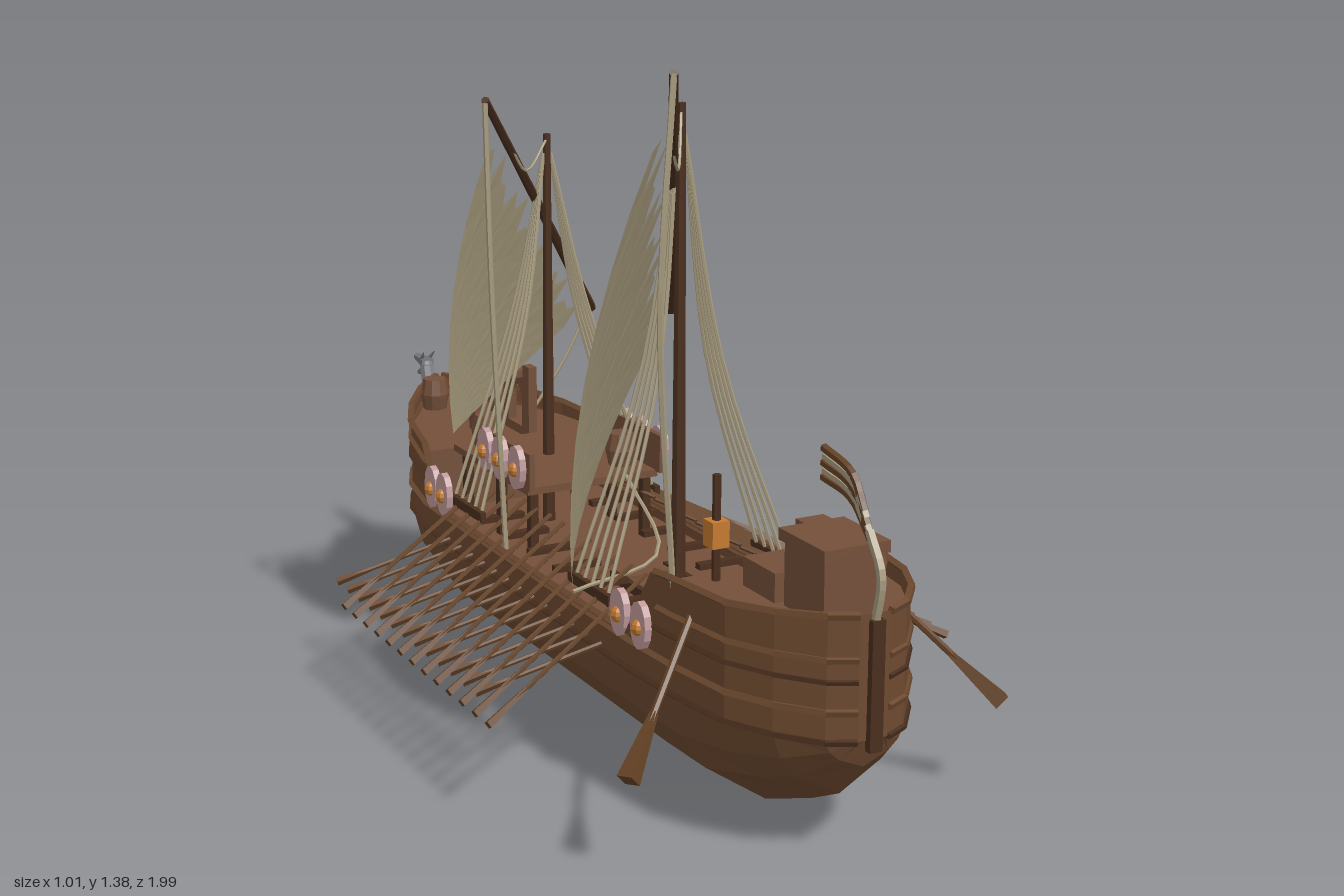
import * as THREE from 'three';

const V = (x, y, z) => new THREE.Vector3(x, y, z);
const mat = (name, color, side = THREE.FrontSide) => {
  const m = new THREE.MeshStandardMaterial({ color, side, flatShading: true });
  m.name = name;
  return m;
};

// hull stations: z, half width, keel height, sheer height
const S = [
  [0.97, 0.03, 0.26, 0.48], [0.945, 0.08, 0.19, 0.48], [0.87, 0.14, 0.11, 0.475], [0.78, 0.185, 0.065, 0.47],
  [0.62, 0.207, 0, 0.47], [0.57, 0.21, 0, 0.465], [0.48, 0.215, 0, 0.32], [0.2, 0.215, 0, 0.315],
  [-0.2, 0.215, 0, 0.315], [-0.38, 0.215, 0, 0.32], [-0.46, 0.212, 0, 0.44], [-0.6, 0.185, 0.015, 0.45],
  [-0.7, 0.14, 0.035, 0.46], [-0.8, 0.075, 0.06, 0.465], [-0.87, 0.006, 0.095, 0.47],
];
const at = (z, col) => {
  for (let i = 1; i < S.length; i++) if (z >= S[i][0]) {
    const a = S[i - 1], b = S[i];
    return THREE.MathUtils.lerp(b[col], a[col], (z - b[0]) / (a[0] - b[0]));
  }
  return S[S.length - 1][col];
};

function gridGeometry(rows) {
  const n = rows[0].length, pos = [], idx = [];
  rows.forEach((r) => r.forEach((p) => pos.push(p.x, p.y, p.z)));
  for (let i = 0; i < rows.length - 1; i++) for (let j = 0; j < n - 1; j++) {
    const a = i * n + j, b = a + n;
    idx.push(a, b, a + 1, b, b + 1, a + 1);
  }
  const g = new THREE.BufferGeometry();
  g.setAttribute('position', new THREE.Float32BufferAttribute(pos, 3));
  g.setIndex(idx);
  g.computeVertexNormals();
  return g;
}

export function createModel() {
  const M = {
    hull: mat('hull brown', 0x6e4a30, THREE.DoubleSide), wood: mat('plank brown', 0x74503a),
    dark: mat('dark wood', 0x4a2f1e), oar: mat('oar brown', 0x644226),
    sail: mat('canvas', 0xa3977a, THREE.DoubleSide), rope: mat('rope tan', 0xa89c80),
    grey: mat('figurehead grey', 0x7b7c82), pink: mat('shield pink', 0xc09a9c), orange: mat('shield orange', 0xc47a30),
  };
  const model = new THREE.Group();
  model.name = 'galley';
  const add = (name, g, m, x = 0, y = 0, z = 0) => {
    const o = new THREE.Mesh(g, m);
    o.name = name;
    o.position.set(x, y, z);
    model.add(o);
    return o;
  };
  const box = (name, m, w, h, d, x, y, z) => add(name, new THREE.BoxGeometry(w, h, d), m, x, y, z);
  const rod = (name, m, a, b, r0, r1 = r0, n = 6) => {
    const d = b.clone().sub(a);
    const o = add(name, new THREE.CylinderGeometry(r1, r0, d.length(), n), m);
    o.position.copy(a).add(b).multiplyScalar(0.5);
    o.quaternion.setFromUnitVectors(V(0, 1, 0), d.normalize());
    return o;
  };
  const rope = (name, pts, r = 0.004, m = M.rope) =>
    add(name, new THREE.TubeGeometry(new THREE.CatmullRomCurve3(pts), 10, r, 5), m);

  // hull shell lofted through the stations; the last one is the ram and stem
  const levels = [[0, 0], [0.35, 0.62], [0.65, 0.88], [1, 1]];
  const ramZ = [-0.93, -0.89, -0.845, -0.825, -0.87];
  add('hull', gridGeometry(S.map(([z, w, k, t], i) => {
    const half = levels.map(([f, q]) => V(w * q, k + f * (0.25 - k), z));
    half.push(V(w, t, z));
    if (i === S.length - 1) half.forEach((p, j) => { p.z = ramZ[j]; });
    const other = half.slice(1).reverse().map((p) => V(-p.x, p.y, p.z));
    return [...other, ...half];
  })), M.hull);
  const [zs, ws, ks, ts] = S[0];
  add('transom', gridGeometry([[V(-ws, ts, zs), V(ws, ts, zs)], [V(-ws, 0.25, zs), V(ws, 0.25, zs)],
    [V(0, ks, zs), V(0, ks, zs)]]), M.hull);

  // decks and solid castles follow the hull outline
  const deck = (name, z0, z1, y0, y1) => {
    const zz = [z0, ...S.map((s) => s[0]).filter((z) => z < z0 && z > z1), z1];
    const side = zz.map((z) => new THREE.Vector2(at(z, 1) * 0.97, -z));
    const shape = new THREE.Shape([...side, ...side.slice().reverse().map((p) => new THREE.Vector2(-p.x, p.y))]);
    const g = new THREE.ExtrudeGeometry(shape, { depth: y1 - y0, bevelEnabled: false });
    add(name, g.rotateX(-Math.PI / 2), M.wood);
    model.children[model.children.length - 1].position.y = y0;
  };
  deck('mainDeck', 0.6, -0.5, 0.27, 0.285);
  deck('sternCastle', 0.965, 0.56, 0.27, 0.44);
  deck('bowCastle', -0.46, -0.86, 0.27, 0.42);

  // wales and gunwales on both sides
  const wale = (name, yOf, z0, z1, r, m) => {
    const zz = [z0, ...S.map((s) => s[0]).filter((z) => z < z0 && z > z1), z1];
    for (const s of [1, -1]) for (let i = 1; i < zz.length; i++) {
      const p = (z) => V(s * (at(z, 1) + 0.001), yOf(z), z);
      rod(name, m, p(zz[i - 1]), p(zz[i]), r, r, 4);
    }
  };
  wale('lowerWale', () => 0.25, 0.97, -0.82, 0.007, M.dark);
  wale('middleWale', () => 0.305, 0.97, -0.84, 0.008, M.hull);
  wale('sternWale', () => 0.36, 0.97, 0.56, 0.006, M.dark);
  wale('sternUpperWale', () => 0.4, 0.97, 0.58, 0.007, M.hull);
  wale('bowWale', (z) => 0.36 - (z + 0.46) * 0.08, -0.46, -0.86, 0.007, M.dark);
  wale('bowUpperWale', (z) => 0.4 - (z + 0.46) * 0.08, -0.46, -0.86, 0.007, M.hull);
  wale('gunwale', (z) => at(z, 3), 0.97, -0.87, 0.008, M.hull);

  // two banks of oars, splayed in opposite directions, and the steering oars
  const oar = (name, a, b, r, blade) => {
    rod(name, M.oar, a, b, r);
    const o = rod(name + 'Blade', M.oar, b.clone().lerp(a, 0.28), b, r, blade, 4);
    o.scale.set(1, 1, 0.9);
  };
  for (const s of [1, -1]) {
    for (let i = 0; i < 13; i++) {
      const z = -0.39 + i * 0.0585;
      oar('lowerOar', V(s * 0.2, 0.265, z + 0.06), V(s * 0.45, 0.185, z), 0.005, 0.009);
      oar('upperOar', V(s * 0.12, 0.385, z + 0.06), V(s * 0.5, 0.19, z + 0.165), 0.005, 0.01);
      if (i % 2) box('rowingBench', M.dark, 0.1, 0.012, 0.02, s * 0.13, 0.32, z + 0.08);
    }
    rod('steeringOar', M.oar, V(s * 0.17, 0.44, 0.66), V(s * 0.39, 0.19, 0.81), 0.007);
    rod('steeringBlade', M.oar, V(s * 0.31, 0.28, 0.755), V(s * 0.39, 0.19, 0.81), 0.008, 0.022, 4);
  }

  // masts, yards and torn sails
  rod('mainMast', M.dark, V(0, 0.28, 0.28), V(0, 1.26, 0.28), 0.015, 0.009, 8);
  rod('foreMast', M.dark, V(0, 0.28, -0.29), V(0, 1.12, -0.29), 0.014, 0.008, 8);
  const sail = (name, top, low, clew, bulge, sag) => {
    rod(name + 'Yard', M.dark, top, low, 0.008, 0.012);
    const rows = [];
    for (let i = 0; i <= 26; i++) {
      const u = 0.1 + (0.88 * i) / 26, row = [];
      const gap = i % 2 ? 0.02 + 0.03 * (i % 3) : 0.09 + 0.02 * ((i * 7) % 4);
      for (let j = 0; j <= 8; j++) {
        const v = gap + (1 - gap) * (j / 8), k = 4 * v * (1 - v);
        const p = top.clone().lerp(low, u).lerp(clew, v).addScaledVector(bulge, k);
        p.y -= sag * k * u;
        row.push(p);
      }
      rows.push(row);
    }
    add(name, gridGeometry(rows), M.sail);
  };
  sail('mainSail', V(-0.21, 1.37, 0.63), V(0.245, 0.74, -0.2), V(-0.27, 0.37, 0.36), V(-0.075, 0, 0.015), 0.06);
  sail('foreSail', V(-0.24, 1.235, -0.07), V(0.26, 0.66, -0.6), V(-0.27, 0.54, -0.18), V(-0.045, 0, 0), 0.03);

  // shrouds and running ropes
  for (const [z, top] of [[0.28, 1.2], [-0.29, 1.08]]) for (const s of [1, -1]) {
    for (let i = 0; i < 5; i++) {
      const f = z - 0.04 + i * 0.033;
      rope('shroud', [V(s * 0.008, top, z), V(s * 0.07, 0.76, (z + f) / 2), V(s * 0.2, 0.36, f)]);
    }
    box('shroudBoard', M.dark, 0.012, 0.02, 0.17, s * 0.205, 0.35, z + 0.025);
  }
  rope('mainYardRope', [V(-0.21, 1.37, 0.63), V(-0.245, 0.95, 0.65), V(-0.2, 0.44, 0.62)], 0.006);
  rope('foreYardRope', [V(-0.24, 1.23, -0.07), V(-0.235, 0.85, -0.06), V(-0.21, 0.32, -0.06)], 0.006);
  rope('foreTackRope', [V(0.25, 0.67, -0.59), V(0.2, 0.56, -0.6), V(0.12, 0.43, -0.62)]);
  rope('mainHalyard', [V(0, 1.25, 0.28), V(-0.05, 1.15, 0.36), V(-0.1, 1.22, 0.42)], 0.003);
  rope('foreHalyard', [V(0, 1.11, -0.29), V(-0.08, 1.06, -0.22), V(-0.13, 1.11, -0.18)], 0.003);
  rope('mainSheet', [V(-0.27, 0.37, 0.36), V(0, 0.36, 0.2), V(0.06, 0.44, -0.05)], 0.004);

  // raised fighting platform amidships with posts and side panels
  box('platform', M.wood, 0.3, 0.015, 0.37, 0, 0.425, -0.265);
  for (const s of [1, -1]) {
    box('platformPanel', M.wood, 0.012, 0.08, 0.22, s * 0.15, 0.47, -0.17);
    for (const z of [-0.1, -0.25, -0.42]) box('platformPost', M.dark, 0.018, 0.15, 0.018, s * 0.13, 0.35, z);
    // painted shields along the rails
    for (const [x, y, z] of [[0.222, 0.355, 0.54], [0.222, 0.355, 0.46], [0.222, 0.36, -0.34], [0.222, 0.36, -0.4],
      [0.165, 0.475, -0.1], [0.165, 0.475, -0.18], [0.165, 0.475, -0.25]]) {
      const g = new THREE.CylinderGeometry(0.03, 0.03, 0.014, 12).rotateZ(Math.PI / 2).scale(1, 1.55, 1);
      add('shield', g, M.pink, s * x, y, z);
      add('shieldBoss', new THREE.SphereGeometry(0.016, 8, 6), M.orange, s * (x + 0.004), y - 0.004, z);
    }
  }

  // hatch frame, barrels and crates
  for (const x of [-0.06, 0.06]) box('hatchSide', M.dark, 0.012, 0.02, 0.42, x, 0.295, 0.33);
  for (let i = 0; i < 8; i++) box('hatchPlank', M.wood, 0.12, 0.014, 0.035, 0, 0.293, 0.14 + i * 0.055);
  for (const [x, y, z] of [[-0.05, 0.42, -0.78], [-0.09, 0.432, -0.41], [0.1, 0.432, -0.15], [-0.03, 0.285, 0.52],
    [-0.11, 0.285, 0.52], [0.145, 0.44, 0.73]]) {
    const prof = [[0, 0], [0.026, 0], [0.033, 0.035], [0.026, 0.07], [0, 0.07]].map((p) => new THREE.Vector2(...p));
    add('barrel', new THREE.LatheGeometry(prof, 10), M.wood, x, y, z);
  }
  box('crate', M.wood, 0.06, 0.1, 0.07, 0.1, 0.48, 0.63);
  box('smallCrate', M.wood, 0.05, 0.06, 0.06, 0.165, 0.46, 0.61);

  // stern cabin, lantern post and sweeping stern ornament
  box('sternCabin', M.wood, 0.12, 0.12, 0.13, 0, 0.5, 0.835);
  box('cabinRoof', M.wood, 0.135, 0.022, 0.15, 0, 0.571, 0.835);
  box('cabinStep', M.wood, 0.14, 0.06, 0.11, 0, 0.465, 0.7);
  rod('lanternPost', M.dark, V(-0.1, 0.43, 0.6), V(-0.1, 0.64, 0.6), 0.008);
  box('lantern', M.orange, 0.035, 0.05, 0.035, -0.1, 0.53, 0.6);
  box('sternPost', M.dark, 0.026, 0.24, 0.016, 0, 0.35, 0.975);
  rope('sternStem', [V(0, 0.46, 0.97), V(0, 0.55, 0.985), V(0, 0.62, 0.945)], 0.009);
  for (let i = 0; i < 5; i++) {
    const a = i * 0.011;
    rope('sternPlume', [V(0, 0.605 + a, 0.95 - a / 2), V(0, 0.66 + a, 0.89), V(0, 0.675 + a * 1.2, 0.795 + 0.005 * (i % 2))],
      0.008, i % 2 ? M.rope : M.oar);
  }

  // arched gate on the bow castle
  const gate = new THREE.Shape([[-0.07, 0], [0.07, 0], [0.07, 0.16], [0.04, 0.16], [0.04, 0.145], [-0.04, 0.145],
    [-0.04, 0.16], [-0.07, 0.16]].map((p) => new THREE.Vector2(...p)));
  const hole = new THREE.Path();
  hole.moveTo(-0.035, 0.02).lineTo(0.035, 0.02).lineTo(0.035, 0.08).absarc(0, 0.08, 0.035, 0, Math.PI, false);
  gate.holes.push(hole);
  const gateGeo = new THREE.ExtrudeGeometry(gate, { depth: 0.02, bevelEnabled: false, curveSegments: 8 });
  gateGeo.rotateY(Math.PI / 2);
  for (const x of [-0.05, 0.03]) add('bowGate', gateGeo, M.wood, x, 0.42, -0.52);
  box('gateBeam', M.wood, 0.08, 0.015, 0.08, 0, 0.56, -0.52);

  // serpent figurehead
  const neck = [[0.35, -0.81, 0.014], [0.36, -0.865, 0.026], [0.385, -0.91, 0.024], [0.435, -0.925, 0.019], [0.475, -0.94, 0.017]];
  for (let i = 1; i < neck.length; i++) {
    const [y0, z0, r0] = neck[i - 1], [y1, z1, r1] = neck[i];
    rod('figureheadNeck', M.grey, V(0, y0, z0), V(0, y1, z1), r0, r1, 8);
    add('figureheadJoint', new THREE.SphereGeometry(r1, 8, 6), M.grey, 0, y1, z1);
  }
  rod('figureheadJaw', M.grey, V(0, 0.47, -0.94), V(0, 0.452, -0.985), 0.012, 0.006);
  rod('figureheadSnout', M.grey, V(0, 0.485, -0.935), V(0, 0.487, -1), 0.017, 0.008);
  for (const s of [1, -1]) rod('figureheadHorn', M.grey, V(s * 0.008, 0.49, -0.95), V(s * 0.014, 0.515, -0.925), 0.006, 0.001);
  return model;
}
